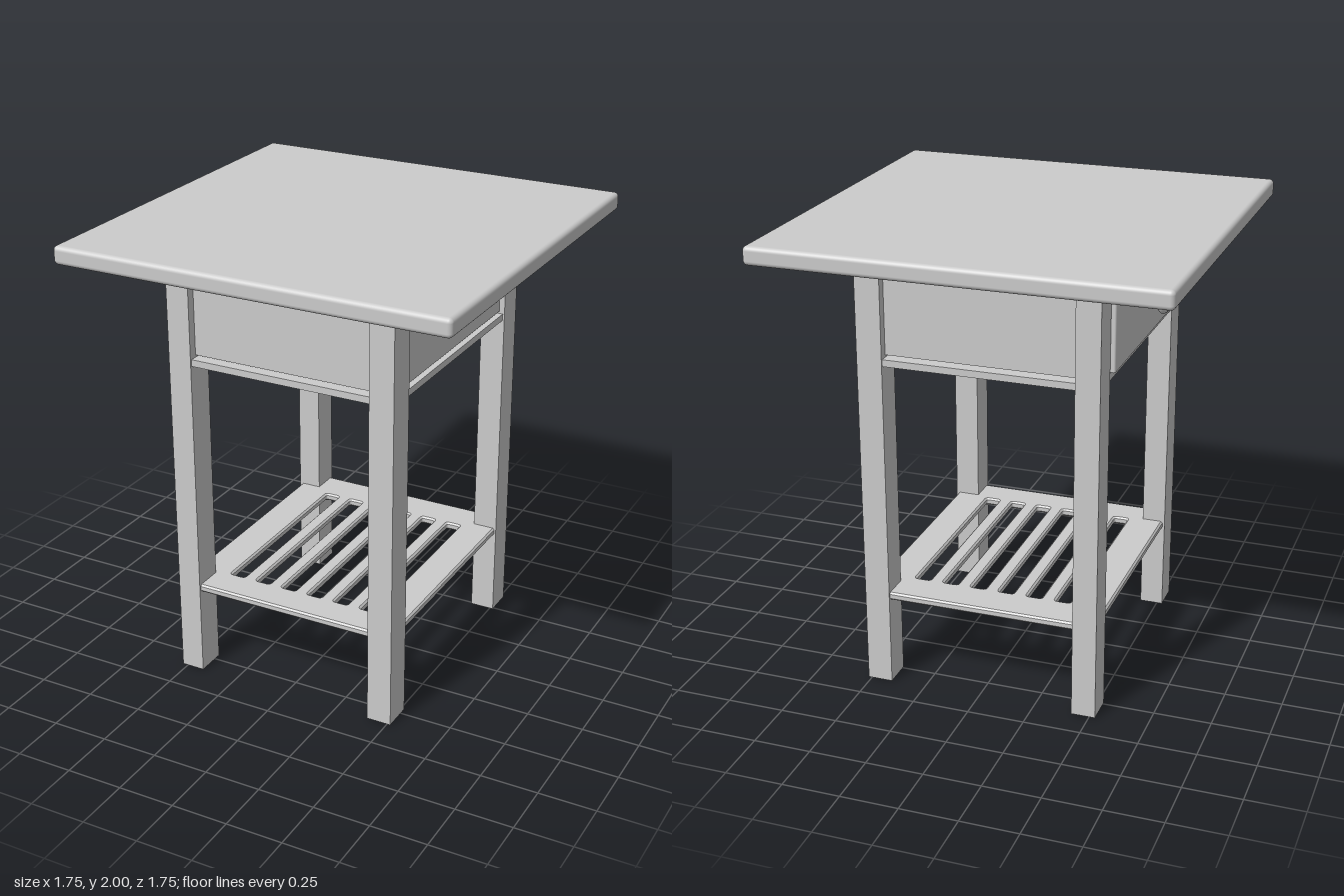
import * as THREE from 'three';
import { RoundedBoxGeometry } from 'three/addons/geometries/RoundedBoxGeometry.js';

const grey = new THREE.MeshStandardMaterial({ color: 0xcccccc });

export function createModel() {
  const model = new THREE.Group();

  const add = (name, geometry) => {
    const mesh = new THREE.Mesh(geometry, grey);
    mesh.name = name;
    model.add(mesh);
    return mesh;
  };
  // Box given by its lower and upper limits on each axis
  const block = (name, [x0, x1], [y0, y1], [z0, z1]) =>
    add(name, new THREE.BoxGeometry(x1 - x0, y1 - y0, z1 - z0))
      .position.set((x0 + x1) / 2, (y0 + y1) / 2, (z0 + z1) / 2);

  // Table top with softened edges
  add('tableTop', new RoundedBoxGeometry(1.75, 0.08, 1.75, 4, 0.02)).position.y = 1.96;

  // Four square legs
  const legX = [[-0.525, -0.42], [0.405, 0.515]];
  const legZ = [[-0.62, -0.49], [0.465, 0.6]];
  for (const x of legX) for (const z of legZ) block('leg', x, [0, 1.92], z);

  // Rails under the top and the board beneath the drawer
  const innerX = [-0.42, 0.405], innerZ = [-0.49, 0.465];
  const railY = [1.875, 1.92];
  block('frontRail', innerX, railY, [0.55, 0.592]);
  block('backRail', innerX, railY, [-0.612, -0.57]);
  block('leftRail', [0.465, 0.507], railY, innerZ);
  block('rightRail', [-0.517, -0.475], railY, innerZ);
  block('drawerBoard', innerX, [1.465, 1.495], [-0.612, 0.592]);
  block('drawerBoardLeftEdge', [0.405, 0.507], [1.465, 1.495], innerZ);
  block('drawerBoardRightEdge', [-0.517, -0.42], [1.465, 1.495], innerZ);

  // Side panels around the drawer
  const panelY = [1.505, 1.855];
  block('frontPanel', innerX, panelY, [0.52, 0.56]);
  block('backPanel', innerX, panelY, [-0.58, -0.54]);
  block('leftPanel', [0.45, 0.49], panelY, innerZ);

  // Drawer: front with softened edges, and its floor
  add('drawerFront', new RoundedBoxGeometry(0.05, 0.35, 0.945, 2, 0.008))
    .position.set(-0.52, 1.68, -0.0125);
  block('drawerFloor', [-0.5, 0.45], [1.505, 1.53], innerZ);

  // Turned knob pointing to the right side
  const knobProfile = [
    [0, 0], [0.026, 0], [0.026, 0.006], [0.016, 0.016], [0.014, 0.036],
    [0.022, 0.048], [0.042, 0.053], [0.049, 0.062], [0.05, 0.071],
    [0.043, 0.082], [0.025, 0.089], [0, 0.091],
  ].map(([r, h]) => new THREE.Vector2(r, h));
  const knob = add('drawerKnob', new THREE.LatheGeometry(knobProfile, 24));
  knob.rotation.z = Math.PI / 2;
  knob.position.set(-0.544, 1.665, -0.01);

  // Lower shelf: outline notched around the legs (shape y becomes -z)
  const bevel = 0.008;
  const x0 = -0.515 + bevel, x1 = 0.507 - bevel, y0 = -0.592 + bevel, y1 = 0.612 - bevel;
  const nx0 = -0.43, nx1 = 0.415, ny0 = -0.475, ny1 = 0.5;
  const shelf = new THREE.Shape([
    [nx0, y0], [nx1, y0], [nx1, ny0], [x1, ny0], [x1, ny1], [nx1, ny1],
    [nx1, y1], [nx0, y1], [nx0, ny1], [x0, ny1], [x0, ny0], [nx0, ny0],
  ].map(([x, y]) => new THREE.Vector2(x, y)));

  // Six long slots with rounded corners
  const slotHalf = 0.04, r = 0.02, s0 = -0.45, s1 = 0.45;
  for (let i = 0; i < 6; i++) {
    const c = -0.32 + i * 0.128, a = c - slotHalf, b = c + slotHalf;
    const slot = new THREE.Path();
    slot.moveTo(a, s0 + r).lineTo(a, s1 - r);
    slot.quadraticCurveTo(a, s1, a + r, s1).lineTo(b - r, s1);
    slot.quadraticCurveTo(b, s1, b, s1 - r).lineTo(b, s0 + r);
    slot.quadraticCurveTo(b, s0, b - r, s0).lineTo(a + r, s0);
    slot.quadraticCurveTo(a, s0, a, s0 + r);
    shelf.holes.push(slot);
  }
  const shelfMesh = add('slattedShelf', new THREE.ExtrudeGeometry(shelf, {
    depth: 0.035 - 2 * bevel, bevelThickness: bevel, bevelSize: bevel, bevelSegments: 1, curveSegments: 4,
  }));
  shelfMesh.rotation.x = -Math.PI / 2;
  shelfMesh.position.y = 0.395 + bevel;

  return model;
}
